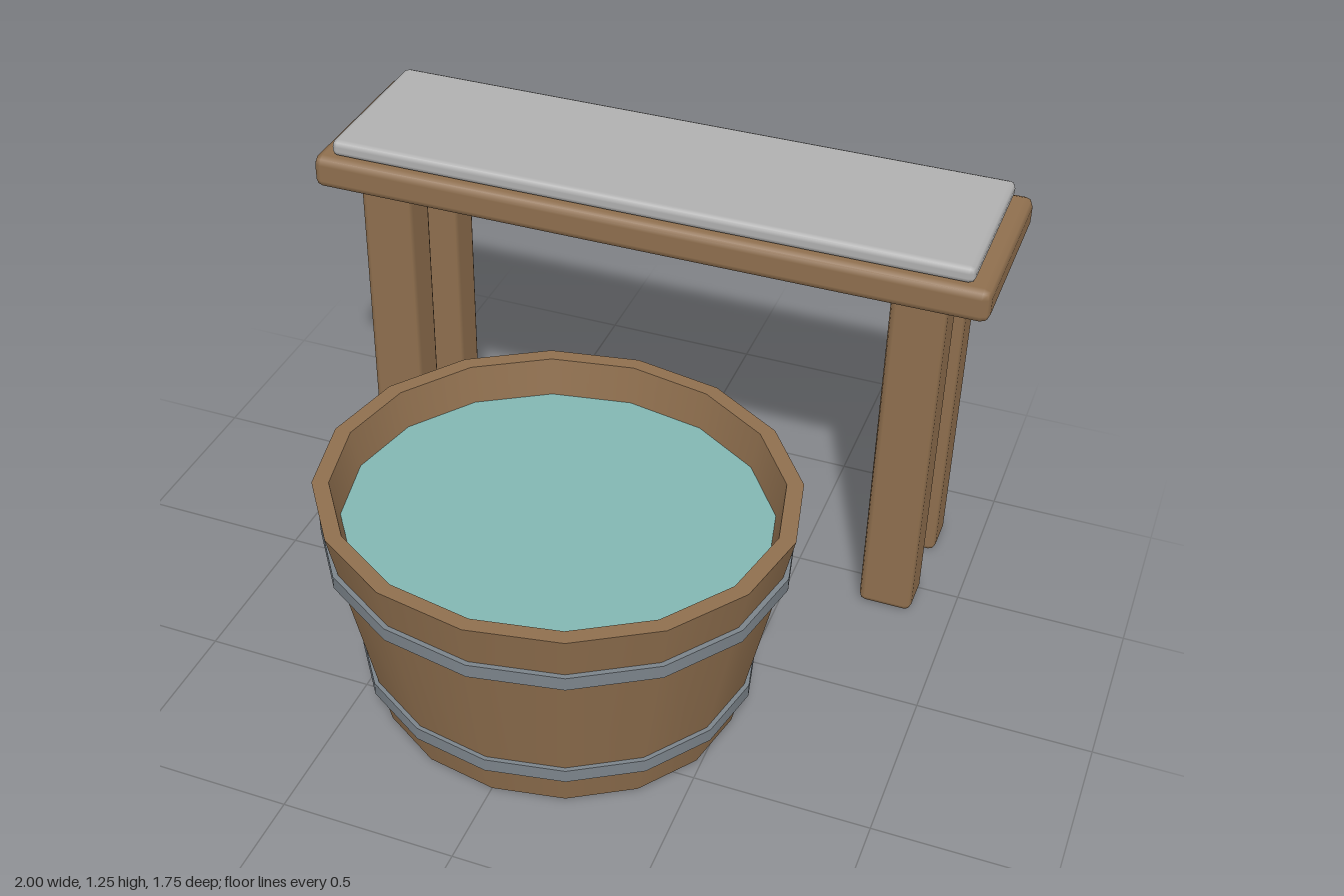
import * as THREE from 'three';
import { mergeGeometries } from 'three/addons/utils/BufferGeometryUtils.js';
import { RoundedBoxGeometry } from 'three/addons/geometries/RoundedBoxGeometry.js';

const SIDES = 16;

const wood = new THREE.MeshStandardMaterial({ name: 'wood', color: 0x8f6f4e });
const iron = new THREE.MeshStandardMaterial({ name: 'iron', color: 0x7b838a });
const stone = new THREE.MeshStandardMaterial({ name: 'paleStone', color: 0xb0b0b0 });
const water = new THREE.MeshStandardMaterial({ name: 'water', color: 0x82b6b2 });

// Turned shape, smooth around the axis but sharp at every profile corner
function turned(profile) {
  const pieces = [];
  for (let i = 0; i < profile.length - 1; i++) {
    const pair = [profile[i], profile[i + 1]].map(([r, y]) => new THREE.Vector2(r, y));
    pieces.push(new THREE.LatheGeometry(pair, SIDES));
  }
  return mergeGeometries(pieces);
}

function addMesh(parent, name, geometry, material) {
  const mesh = new THREE.Mesh(geometry, material);
  mesh.name = name;
  parent.add(mesh);
  return mesh;
}

// Box with softened edges, given by its size and centre
function addBlock(parent, name, material, size, centre, radius) {
  const mesh = addMesh(parent, name, new RoundedBoxGeometry(...size, 1, radius), material);
  mesh.position.set(...centre);
}

function createTub() {
  const tub = new THREE.Group();
  tub.name = 'tub';

  // Tapered bucket with a closed bottom and a hollow top
  addMesh(tub, 'tubWall', turned([
    [0, 0], [0.525, 0], [0.672, 0.7], [0.625, 0.7], [0.595, 0.56],
  ]), wood);

  const surface = addMesh(tub, 'waterSurface', new THREE.CircleGeometry(0.601, SIDES), water);
  surface.rotation.x = -Math.PI / 2;
  surface.position.y = 0.59;

  // Straight iron hoops
  for (const [name, y, outer, inner] of [
    ['lowerHoop', 0.13, 0.57, 0.54],
    ['upperHoop', 0.55, 0.66, 0.625],
  ]) {
    addMesh(tub, name, turned([
      [inner, y - 0.02], [outer, y - 0.02], [outer, y + 0.02], [inner, y + 0.02],
    ]), iron);
  }

  // The tub is slightly oval
  tub.scale.z = 0.933;
  tub.position.z = 0.248;
  return tub;
}

function createBench() {
  const bench = new THREE.Group();
  bench.name = 'bench';
  addBlock(bench, 'benchTop', wood, [2, 0.1, 0.555], [0, 1.15, -0.597], 0.025);
  addBlock(bench, 'topSlab', stone, [1.894, 0.05, 0.508], [0, 1.226, -0.597], 0.018);

  // Four legs
  for (const x of [-0.8, 0.8]) {
    for (const z of [-0.445, -0.747]) {
      const name = (z > -0.6 ? 'front' : 'back') + (x > 0 ? 'LeftLeg' : 'RightLeg');
      addBlock(bench, name, wood, [0.16, 1.12, 0.136], [x, 0.56, z], 0.02);
    }
  }
  return bench;
}

export function createModel() {
  const model = new THREE.Group();
  model.name = 'washTubAndBench';
  model.add(createTub(), createBench());
  return model;
}
